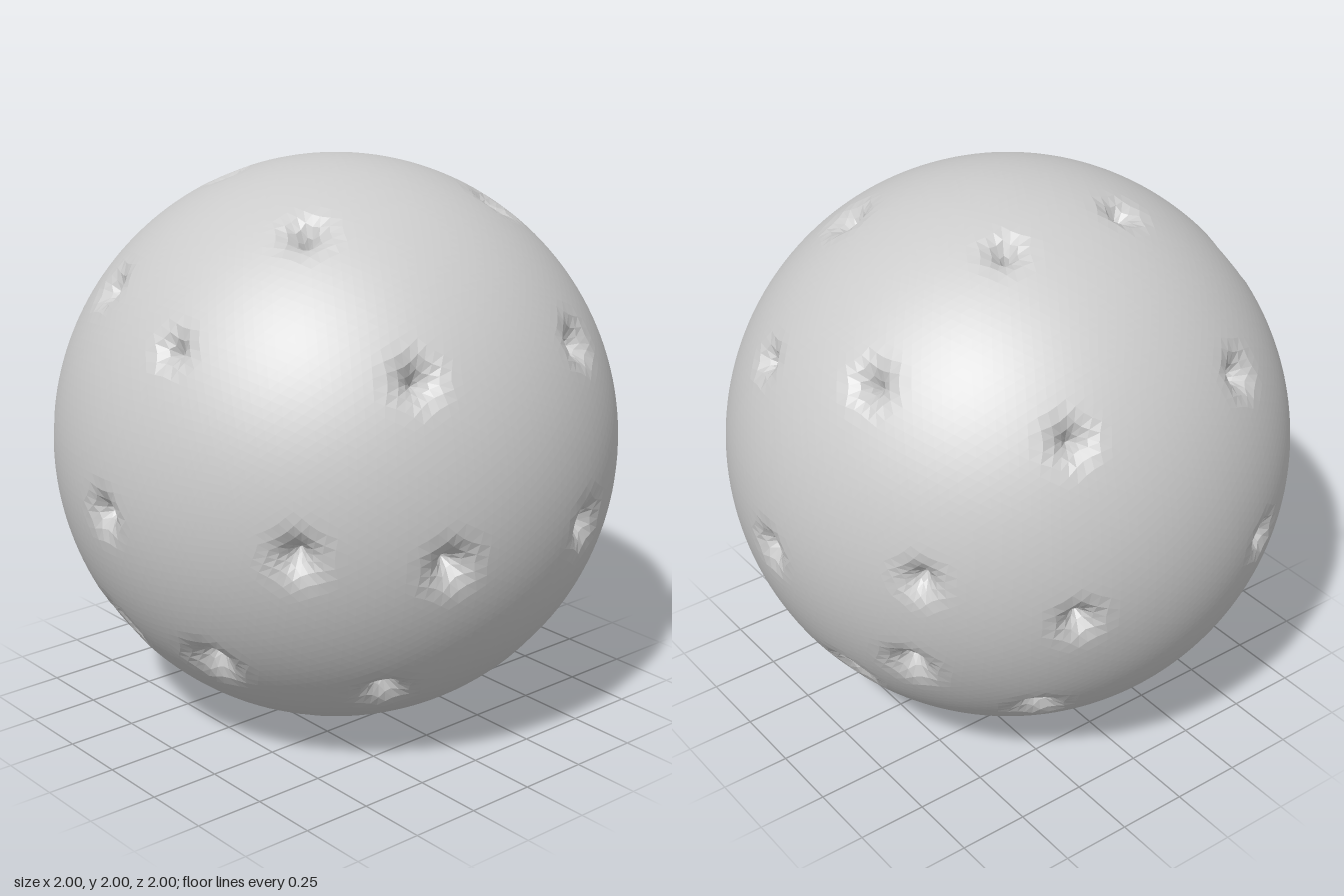
import * as THREE from 'three';

// Dimple directions on the +x half, with rim radius; each is mirrored to -x
const HALF = [
  [0.36, 0.45, 0.82, 0.14], [0.31, -0.15, 0.94, 0.15], [0.72, -0.09, 0.67, 0.15],
  [0.34, -0.67, 0.65, 0.16], [0.77, -0.57, 0.28, 0.16], [0.31, -0.92, 0.18, 0.15],
  [0.41, 0.83, 0.34, 0.14], [0.83, 0.50, 0.20, 0.11], [0.74, 0.60, -0.28, 0.13],
  [0.24, 0.92, -0.30, 0.12], [0.35, 0.50, -0.79, 0.13], [0.80, 0.05, -0.60, 0.13],
  [1.00, -0.07, 0.00, 0.13], [0.79, -0.35, -0.51, 0.15], [0.81, -0.56, -0.18, 0.16],
  [0.40, -0.10, -0.91, 0.13], [0.40, -0.59, -0.70, 0.15], [0.37, -0.87, -0.32, 0.14],
];

export function createModel() {
  const dimples = HALF.flatMap(([x, y, z, radius]) => [1, -1].map((side) => (
    { dir: new THREE.Vector3(side * x, y, z).normalize(), radius })));

  const geometry = new THREE.IcosahedronGeometry(1, 34);
  const pos = geometry.attributes.position;
  const v = new THREE.Vector3();
  const offset = new THREE.Vector3();
  for (let i = 0; i < pos.count; i++) {
    v.fromBufferAttribute(pos, i).normalize();
    for (const { dir, radius } of dimples) {
      const t = v.distanceTo(dir) / radius;
      if (t >= 1) continue;
      // Gather vertices towards the pit, then sink them to a sharp point
      const pulled = Math.pow(t, 1.6);
      offset.subVectors(v, dir).multiplyScalar(Math.pow(t, 0.6));
      v.copy(dir).add(offset).normalize();
      v.multiplyScalar(1 - 0.1 * (radius / 0.14) * Math.pow(1 - pulled, 3));
      break;
    }
    pos.setXYZ(i, v.x, v.y, v.z);
  }
  geometry.computeVertexNormals();

  // Faceted ball resting on the ground
  const ball = new THREE.Mesh(geometry,
    new THREE.MeshStandardMaterial({ color: 0xcccccc, flatShading: true }));
  ball.name = 'dimpledBall';
  ball.position.y = 1;

  const group = new THREE.Group();
  group.name = 'ball';
  group.add(ball);
  return group;
}
